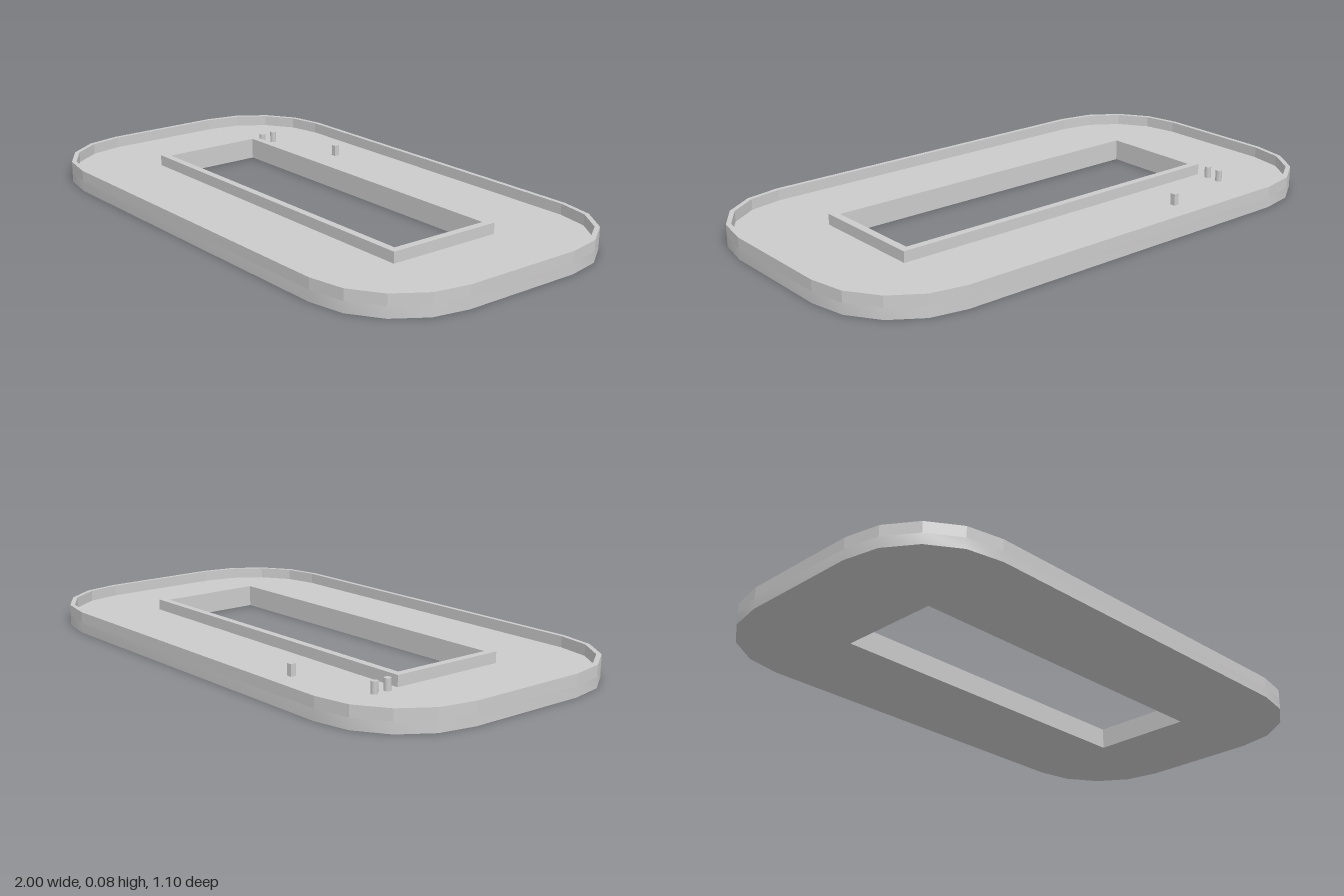
import * as THREE from 'three';
import { toCreasedNormals } from 'three/addons/utils/BufferGeometryUtils.js';

const FLOOR = 0.038, TOP = 0.077;

// Rounded rectangle whose corners are four-segment arcs about fixed centres
function roundedPoints(radius) {
  const points = [];
  const centres = [[0.67, 0.22], [-0.67, 0.22], [-0.67, -0.22], [0.67, -0.22]];
  centres.forEach(([cx, cy], corner) => {
    for (let i = 0; i <= 4; i++) {
      const a = (corner + i / 4) * Math.PI / 2;
      points.push(new THREE.Vector2(cx + radius * Math.cos(a), cy + radius * Math.sin(a)));
    }
  });
  return points;
}

function rectPoints(hx, hy) {
  return [[hx, hy], [-hx, hy], [-hx, -hy], [hx, -hy]].map(([x, y]) => new THREE.Vector2(x, y));
}

// Upright ring between two outlines, from y0 to y1
function ring(outer, inner, y0, y1) {
  const shape = new THREE.Shape(outer);
  shape.holes.push(new THREE.Path(inner));
  const geometry = new THREE.ExtrudeGeometry(shape, { depth: y1 - y0, bevelEnabled: false });
  return geometry.rotateX(-Math.PI / 2).translate(0, y0, 0);
}

export function createModel() {
  const model = new THREE.Group();
  model.name = 'tray';
  const material = new THREE.MeshStandardMaterial({ color: 0xcccccc });

  function add(name, geometry, x = 0, y = 0, z = 0) {
    const mesh = new THREE.Mesh(geometry, material);
    mesh.name = name;
    mesh.position.set(x, y, z);
    model.add(mesh);
  }

  const outline = roundedPoints(0.33);
  const opening = rectPoints(0.637, 0.19);

  // Floor plate with the rectangular opening, softly shaded round its corners
  add('floorPlate', toCreasedNormals(ring(outline, opening, 0, FLOOR), 0.5));

  // Raised walls round the outside and the opening
  add('outerRim', ring(outline, roundedPoints(0.313), FLOOR, TOP));
  add('openingCollar', ring(rectPoints(0.665, 0.217), opening, FLOOR, TOP));

  // Small posts standing on the floor in the back right corner
  const height = 0.079 - FLOOR, y = FLOOR + height / 2;
  for (const z of [-0.315, -0.262]) {
    add('roundPost', new THREE.CylinderGeometry(0.012, 0.012, height, 12), -0.668, y, z);
  }
  add('squarePost', new THREE.BoxGeometry(0.02, height, 0.02), -0.36, y, -0.388);

  return model;
}
